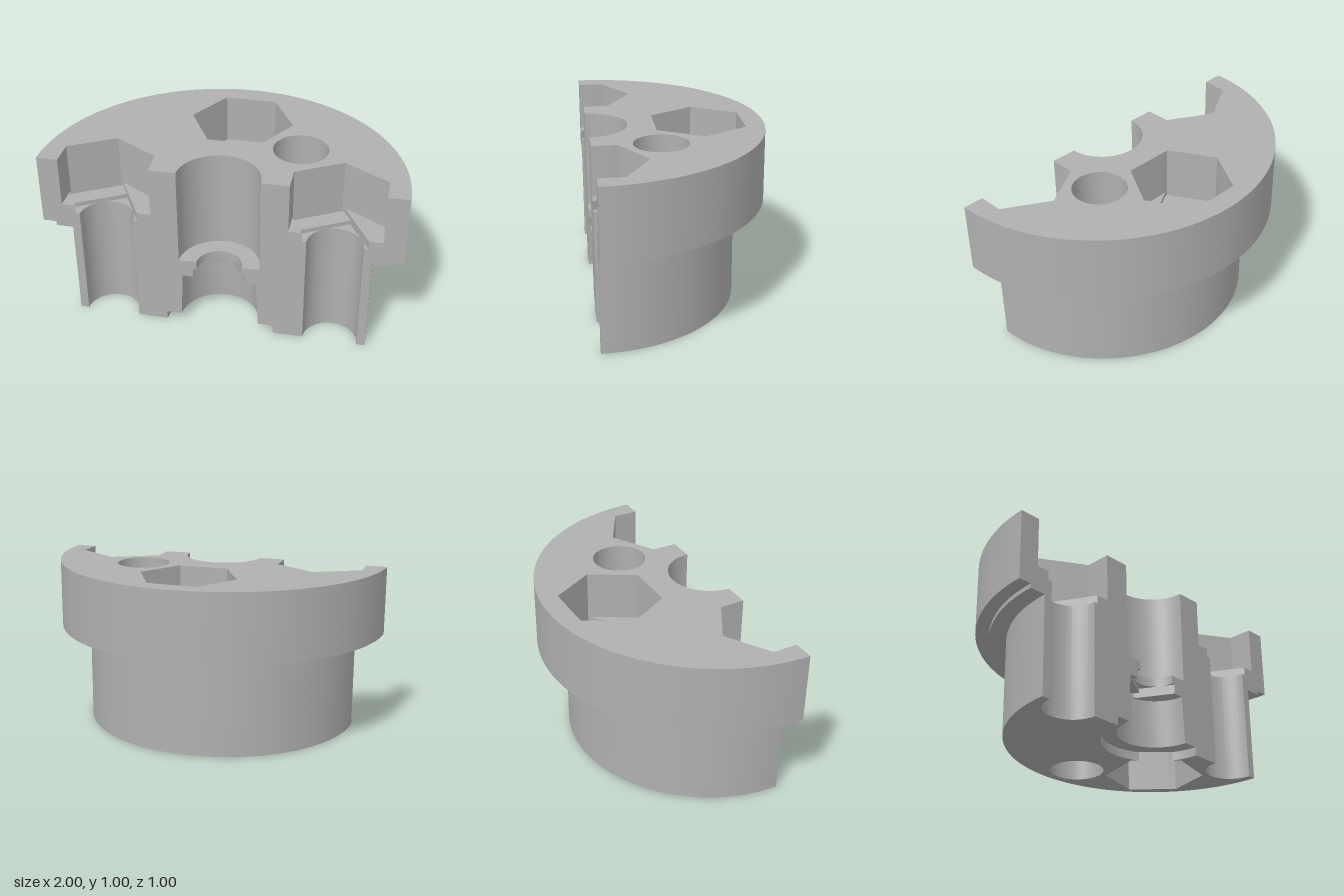
import * as THREE from 'three';
import { toCreasedNormals } from 'three/addons/utils/BufferGeometryUtils.js';

// Plan coordinates are (u, v) = (x, -z); angles are in degrees, counter-clockwise from above.
const RAD = Math.PI / 180, STEP = 3;
const TOP = 0.995, AXIS = [0, -0.5], PITCH = 0.63, BORE = 0.153;

// Radius as a function of angle, for each kind of hole outline
const circle = r => () => r;
const hexagon = (R, mid) => t => {
  const a = (((t - mid + 30) % 60) + 60) % 60 - 30;
  return R * Math.cos(30 * RAD) / Math.cos(a * RAD);
};
const slot = (half, dir, limit) => t =>
  Math.min(limit(t), half / Math.max(1e-6, Math.abs(Math.sin((t - dir) * RAD))));
const square = (half, dir, limit) => slot(half, dir + 90, slot(half, dir, limit));

const at = ([u, v], f, t) => [u + f(t) * Math.cos(t * RAD), v + f(t) * Math.sin(t * RAD)];

function ring(centre, f, from, to) {
  const pts = [], n = Math.round(Math.abs(to - from) / STEP);
  for (let i = 0; i <= n; i++) pts.push(at(centre, f, from + (to - from) * i / n));
  return pts;
}

// Generalised lathe: joins outlines [radius function, y] from bottom to top
function loft({ centre, rows, sweep, outward = false, skip = () => false }) {
  const pos = [];
  const rings = rows.map(([f, y]) => ring(centre, f, 0, sweep).map(([u, v]) => [u, y, -v]));
  for (let j = 0; j + 1 < rows.length; j++) {
    for (let i = 0; i + 1 < rings[j].length; i++) {
      if (skip(j, (i + 0.5) * STEP)) continue;
      const a = rings[j][i], b = rings[j][i + 1], c = rings[j + 1][i + 1], d = rings[j + 1][i];
      const quad = outward ? [a, b, c, a, c, d] : [a, c, b, a, d, c];
      quad.forEach(p => pos.push(...p));
    }
  }
  const g = new THREE.BufferGeometry();
  g.setAttribute('position', new THREE.Float32BufferAttribute(pos, 3));
  return toCreasedNormals(g, 0.6);
}

const vectors = pts => pts.map(p => new THREE.Vector2(p[0], p[1]));

// Horizontal face with holes, looking up or down
function flatFace(outline, holes, y, up) {
  const s = up ? 1 : -1;
  const flip = pts => vectors(pts.map(([u, v]) => [u, v * s]));
  const shape = new THREE.Shape(flip(outline));
  holes.forEach(h => shape.holes.push(new THREE.Path(flip(h))));
  const g = new THREE.ShapeGeometry(shape);
  g.rotateX(-s * Math.PI / 2);
  g.translate(0, y, 0);
  return g;
}

export function createModel() {
  const model = new THREE.Group();
  model.name = 'halfFlange';
  const grey = new THREE.MeshStandardMaterial({ color: 0xb0b0b0 });
  grey.name = 'grey';
  const add = (name, geometry) => {
    const mesh = new THREE.Mesh(geometry, grey);
    mesh.name = name;
    model.add(mesh);
  };

  // Stepped half-round body
  const body = {
    centre: AXIS, sweep: 180, outward: true,
    rows: [[0.83, 0], [0.83, 0.565], [0.925, 0.565], [0.925, 0.59], [1, 0.59], [1, TOP]]
      .map(([r, y]) => [circle(r), y]),
  };

  // Bolt holes with a hexagonal pocket on top and two stepped ledges below it
  const boltHole = (angle, sweep) => {
    const hex = hexagon(0.29, angle), dir = angle - 60;
    const ledge1 = slot(BORE, dir, hex), ledge2 = square(BORE, dir, hex);
    return {
      centre: at(AXIS, circle(PITCH), angle), sweep,
      rows: [[circle(BORE), 0], [circle(BORE), 0.66], [ledge2, 0.66], [ledge2, 0.685],
        [ledge1, 0.685], [ledge1, 0.71], [hex, 0.71], [hex, TOP]],
    };
  };
  const rightBolt = boltHole(180, 180), leftBolt = boltHole(0, 180), backBolt = boltHole(90, 360);

  // Offset through hole with a hexagonal pocket underneath
  const nutHex = hexagon(0.28, 45);
  const nutSlot = slot(BORE, -15, nutHex), nutSquare = square(BORE, -15, nutHex);
  const nutHole = {
    centre: at(AXIS, circle(0.534), 45), sweep: 360,
    rows: [[nutHex, 0], [nutHex, 0.05], [nutHex, 0.3], [nutSlot, 0.3], [nutSlot, 0.325],
      [nutSquare, 0.325], [nutSquare, 0.35], [circle(BORE), 0.35], [circle(BORE), TOP]],
    skip: (j, t) => j === 0 && Math.abs(t - 225) < 21,
  };

  // Central cavity; its shallow recess opens into the hexagonal pocket
  const gap = 0.534 - 0.28 * Math.cos(30 * RAD);
  const recess = circle(0.3065), taper = circle(0.208), neck = circle(0.128);
  const recessTop = t => Math.abs(t - 45) < 18 ? gap / Math.cos((t - 45) * RAD) : 0.3065;
  const coreSlot = slot(0.128, 120, taper), coreSquare = square(0.128, 120, taper);
  const core = {
    centre: AXIS, sweep: 180,
    rows: [[recess, 0], [recessTop, 0.05], [circle(0.222), 0.05], [taper, 0.325],
      [coreSlot, 0.325], [coreSlot, 0.355], [coreSquare, 0.355], [coreSquare, 0.38],
      [neck, 0.38], [neck, 0.43], [circle(0.228), 0.43], [circle(0.228), TOP]],
    skip: (j, t) => j === 0 && Math.abs(t - 45) < 18,
  };

  Object.entries({ body, rightBolt, leftBolt, backBolt, nutHole, core })
    .forEach(([name, part]) => add(name + 'Wall', loft(part)));

  // Top and bottom faces, notched by the half holes along the cut
  const notch = (part, k) => ring(part.centre, part.rows.at(k)[0], 180, 0);
  const hole = (part, k) => ring(part.centre, part.rows.at(k)[0], 0, 360).slice(0, -1);
  add('topFace', flatFace(
    [...ring(AXIS, circle(1), 0, 180), ...notch(rightBolt, -1), ...notch(core, -1), ...notch(leftBolt, -1)],
    [hole(backBolt, -1), hole(nutHole, -1)], TOP, true));
  const recessNotch = [
    ...ring(AXIS, recess, 180, 63),
    ...ring(nutHole.centre, nutHex, 204, -114),
    ...ring(AXIS, recess, 27, 0),
  ];
  add('bottomFace', flatFace(
    [...ring(AXIS, circle(0.83), 0, 180), ...notch(rightBolt, 0), ...recessNotch, ...notch(leftBolt, 0)],
    [hole(backBolt, 0)], 0, false));

  // Cut face: four pieces standing between the half holes
  const edge = (part, t) => part.rows.map(([f, y]) => [at(part.centre, f, t)[0], y]);
  const pieces = [
    [edge(body, 180), edge(rightBolt, 180)],
    [edge(rightBolt, 0), edge(core, 180)],
    [edge(core, 0), edge(leftBolt, 180)],
    [edge(leftBolt, 0), edge(body, 0)],
  ];
  pieces.forEach(([a, b], i) => {
    const g = new THREE.ShapeGeometry(new THREE.Shape(vectors([...a, ...b.reverse()])));
    add('cutFace' + (i + 1), g.translate(0, 0, 0.5));
  });

  return model;
}
